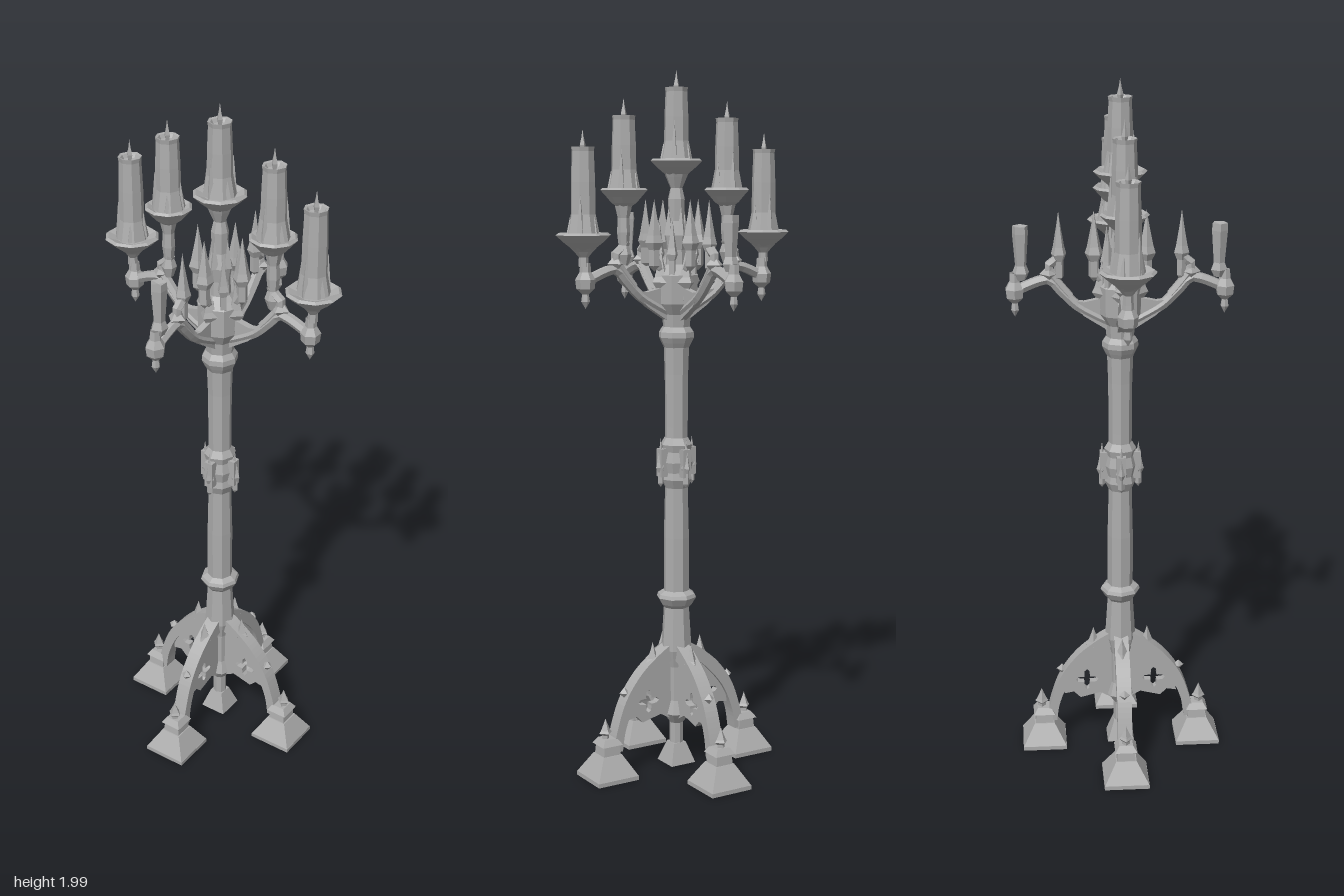
import * as THREE from 'three';

const stone = new THREE.MeshStandardMaterial({ color: 0xacacac, flatShading: true, side: THREE.DoubleSide });
stone.name = 'grey stone';

const V2 = (p) => new THREE.Vector2(p[0], p[1]);

function add(parent, name, geometry, x = 0, y = 0, z = 0) {
  const mesh = new THREE.Mesh(geometry, stone);
  mesh.name = name;
  mesh.position.set(x, y, z);
  parent.add(mesh);
  return mesh;
}

// Turned part from [radius, height] pairs
const turned = (profile, sides = 8) => new THREE.LatheGeometry(profile.map(V2), sides);

// Square frustum with flat sides along the axes
function frustum(top, bottom, height) {
  const g = new THREE.CylinderGeometry(top * Math.SQRT2, bottom * Math.SQRT2, height, 4);
  return g.rotateY(Math.PI / 4);
}

// Slender gothic spire with a bulging waist, base at y = 0
const spire = (r, h, sides = 4) => turned(
  [[0, 0], [r * 0.6, h * 0.08], [r * 0.6, h * 0.3], [r, h * 0.4], [r * 0.75, h * 0.5], [r * 0.3, h * 0.78], [0, h]], sides);

// Flat cut-out standing in the x-y plane, centred on z
function plate(shape, depth) {
  return new THREE.ExtrudeGeometry(shape, { depth, bevelEnabled: false, curveSegments: 5 }).translate(0, 0, -depth / 2);
}

function tube(points, radius, segments = 10) {
  const curve = new THREE.CatmullRomCurve3(points.map((p) => new THREE.Vector3(p[0], p[1], 0)));
  return new THREE.TubeGeometry(curve, segments, radius, 6);
}

// Dish with a melted candle, wick tip at the top
function candle(parent, x, y, dishRadius, height) {
  const g = new THREE.Group();
  g.name = 'candle';
  g.position.set(x, y, 0);
  parent.add(g);
  add(g, 'dripDish', turned([[0.012, -0.05], [0.035, -0.035], [dishRadius * 0.75, -0.018],
    [dishRadius, 0], [dishRadius * 0.9, 0.006], [0.04, -0.006], [0, -0.006]], 10));
  add(g, 'wax', turned([[0.046, 0], [0.041, 0.025], [0.035, 0.055], [0.034, height * 0.6],
    [0.031, height - 0.012], [0.033, height], [0.026, height - 0.002], [0.02, height - 0.012], [0, height - 0.014]], 8));
  // Wax drips down the sides
  for (let i = 0; i < 5; i++) {
    const a = i * 1.257 + 0.4;
    const len = 0.05 + 0.03 * ((i * 2) % 3);
    add(g, 'waxDrip', new THREE.ConeGeometry(0.012, len, 4), Math.cos(a) * 0.036, len / 2, Math.sin(a) * 0.036);
  }
  add(g, 'wick', turned([[0.005, 0], [0.009, 0.018], [0.004, 0.038], [0, 0.062]], 4), 0, height - 0.014);
}

// Arched leg with pierced panel, foot and pinnacles, pointing to +x
function buildLeg() {
  const leg = new THREE.Group();
  leg.name = 'leg';
  const arch = new THREE.Shape();
  arch.moveTo(0.02, 0.375);
  arch.splineThru([[0.07, 0.345], [0.13, 0.295], [0.18, 0.225], [0.21, 0.14], [0.222, 0.08]].map(V2));
  arch.lineTo(0.192, 0.08);
  arch.splineThru([[0.182, 0.14], [0.153, 0.21], [0.11, 0.265], [0.065, 0.305], [0.02, 0.325]].map(V2));
  add(leg, 'archedRib', plate(arch, 0.042));

  const panel = new THREE.Shape([[0.015, 0.14], [0.06, 0.165], [0.12, 0.15], [0.14, 0.17], [0.168, 0.165],
    [0.165, 0.2], [0.115, 0.27], [0.065, 0.31], [0.015, 0.33]].map(V2));
  // Four-lobed opening
  const hole = [];
  for (let i = 0; i < 24; i++) {
    const a = (i / 24) * Math.PI * 2;
    const r = 0.023 + 0.011 * Math.cos(4 * a);
    hole.push(new THREE.Vector2(0.1 + r * Math.cos(a), 0.21 + r * Math.sin(a)));
  }
  panel.holes.push(new THREE.Path(hole));
  add(leg, 'piercedPanel', plate(panel, 0.022));

  add(leg, 'footPlinth', frustum(0.065, 0.065, 0.012), 0.23, 0.01);
  add(leg, 'foot', frustum(0.03, 0.065, 0.06), 0.23, 0.045);
  add(leg, 'footBlock', frustum(0.024, 0.027, 0.035), 0.23, 0.09);
  add(leg, 'footCap', frustum(0.02, 0.032, 0.018), 0.23, 0.113);
  add(leg, 'footPinnacle', spire(0.02, 0.07), 0.237, 0.11);
  add(leg, 'archPinnacle', spire(0.022, 0.095), 0.08, 0.285);
  add(leg, 'crocket', new THREE.OctahedronGeometry(0.016), 0.175, 0.245);
  return leg;
}

// Branching arm pointing to +x; the side arms hold candles, the others end in pinnacles
function buildArm(withCandles) {
  const arm = new THREE.Group();
  arm.name = withCandles ? 'candleArm' : 'pinnacleArm';
  add(arm, 'branch', tube([[0.02, 1.32], [0.07, 1.345], [0.12, 1.375], [0.165, 1.42], [0.195, 1.45], [0.24, 1.44], [0.285, 1.42]], 0.015, 14));
  add(arm, 'lowerLeaf', plate(new THREE.Shape([[0.03, 1.3], [0.1, 1.345], [0.14, 1.39], [0.1, 1.385], [0.03, 1.4]].map(V2)), 0.02));
  add(arm, 'scroll', tube([[0.14, 1.4], [0.165, 1.43], [0.19, 1.465], [0.195, 1.49], [0.175, 1.505], [0.165, 1.525]], 0.014));
  add(arm, 'branchKnot', new THREE.OctahedronGeometry(0.027), 0.195, 1.465);
  add(arm, 'outerDrop', turned([[0, 1.345], [0.012, 1.365], [0.009, 1.385], [0.025, 1.4], [0.028, 1.425], [0.016, 1.445], [0.014, 1.47]], 6), 0.29);
  if (withCandles) {
    add(arm, 'outerStem', turned([[0.014, 1.46], [0.013, 1.485], [0.025, 1.5], [0.035, 1.51]], 6), 0.295);
    add(arm, 'innerStem', turned([[0.012, 1.46], [0.022, 1.49], [0.014, 1.515], [0.018, 1.55], [0.016, 1.59], [0.024, 1.625]], 6), 0.17);
    candle(arm, 0.295, 1.545, 0.076, 0.235);
    candle(arm, 0.168, 1.665, 0.066, 0.2);
  } else {
    add(arm, 'outerPinnacle', turned([[0.014, 1.45], [0.024, 1.47], [0.016, 1.49], [0.023, 1.58], [0.022, 1.6], [0, 1.595]], 5), 0.272);
    add(arm, 'innerPinnacle', spire(0.022, 0.2, 5), 0.168, 1.44);
  }
  return arm;
}

export function createModel() {
  const model = new THREE.Group();
  model.name = 'candelabrum';

  // Central post and its small foot
  add(model, 'centreFoot', frustum(0.02, 0.04, 0.06), 0, 0.04);
  add(model, 'centrePost', turned([[0.02, 0.06], [0.02, 0.13], [0.042, 0.16], [0.03, 0.2], [0.032, 0.3],
    [0.045, 0.35], [0.042, 0.4], [0.037, 0.48]], 8));

  // Shaft with rings
  add(model, 'lowerRing', turned([[0.037, 0.475], [0.046, 0.485], [0.058, 0.505], [0.054, 0.515], [0.038, 0.525]], 8));
  add(model, 'shaft', turned([[0.037, 0.52], [0.037, 0.68], [0.033, 0.84], [0.033, 1], [0.034, 1.15], [0.037, 1.235]], 8));
  add(model, 'collar', turned([[0.034, 0.825], [0.045, 0.85], [0.041, 0.87], [0.048, 0.9], [0.041, 0.93], [0.046, 0.95], [0.034, 0.97]], 8));
  add(model, 'upperRing', turned([[0.036, 1.225], [0.044, 1.24], [0.051, 1.255], [0.05, 1.27], [0.04, 1.285]], 8));
  add(model, 'crown', turned([[0.038, 1.28], [0.042, 1.32], [0.06, 1.35], [0.062, 1.43], [0.045, 1.445], [0.03, 1.46]], 8));
  add(model, 'upperStem', turned([[0.033, 1.43], [0.028, 1.5], [0.034, 1.54], [0.022, 1.58], [0.024, 1.64],
    [0.017, 1.67], [0.03, 1.7], [0.036, 1.715]], 8));
  candle(model, 0, 1.745, 0.074, 0.2);

  // Parts repeated on all four sides
  for (let i = 0; i < 4; i++) {
    const side = new THREE.Group();
    side.name = 'side' + (i + 1);
    side.rotation.y = (i * Math.PI) / 2;
    side.add(buildLeg(), buildArm(i % 2 === 0));
    add(side, 'collarLobe', new THREE.BoxGeometry(0.022, 0.08, 0.026), 0.047, 0.9);
    add(side, 'collarLeaf', spire(0.016, 0.14), 0.052, 0.83);
    add(side, 'crownGable', spire(0.028, 0.15), 0.05, 1.35);
    add(side, 'crownPinnacle', spire(0.026, 0.2, 5), 0.072, 1.44);
    add(side, 'crownBracket', tube([[0.03, 1.43], [0.055, 1.45], [0.072, 1.48]], 0.012, 4));
    add(side, 'diagonalPinnacle', spire(0.018, 0.17), 0.035, 1.42, 0.035);
    add(side, 'stemLeaf', new THREE.ConeGeometry(0.014, 0.08, 4), 0.025, 1.58);
    model.add(side);
  }
  return model;
}
